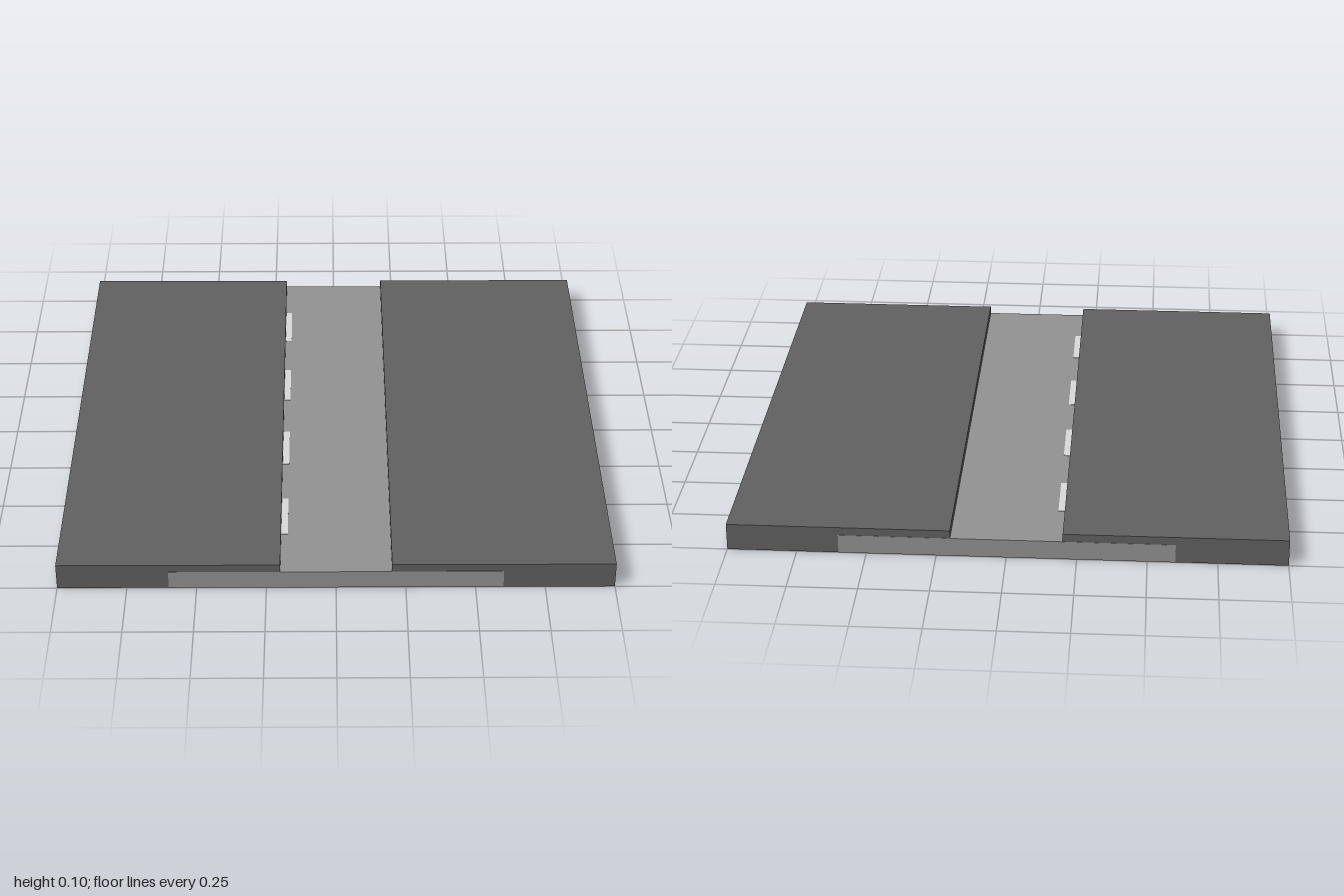
import * as THREE from 'three';

// Open-bottomed box shell between two x limits, standing on y = 0
function shell(name, x0, x1, height, depth, material, z = 0) {
  const geometry = new THREE.BoxGeometry(x1 - x0, height, depth);
  const index = Array.from(geometry.index.array);
  index.splice(18, 6); // drop the underside
  geometry.setIndex(index);
  geometry.clearGroups();
  geometry.translate((x0 + x1) / 2, height / 2, z);
  const mesh = new THREE.Mesh(geometry, material);
  mesh.name = name;
  return mesh;
}

export function createModel() {
  const make = (name, color) =>
    new THREE.MeshStandardMaterial({ name, color, side: THREE.DoubleSide });
  const darkGrey = make('darkGrey', 0x606060);
  const midGrey = make('midGrey', 0x929292);
  const paleGrey = make('paleGrey', 0xd8d8d8);

  const model = new THREE.Group();
  model.name = 'roadTile';

  // Raised slabs either side of the channel
  model.add(shell('leftSlab', 0.2, 1, 0.1, 1.998, darkGrey));
  model.add(shell('rightSlab', -1, -0.2, 0.1, 1.998, darkGrey));

  // Sunken road, running on beneath both slabs
  model.add(shell('road', -0.6, 0.6, 0.07, 2, midGrey));

  // Dashes along the right edge of the channel
  const dashes = new THREE.Group();
  dashes.name = 'laneDashes';
  for (let i = 0; i < 4; i++) {
    const z = -0.667 + i * 0.4445;
    dashes.add(shell('laneDash', -0.199, -0.175, 0.072, 0.22, paleGrey, z));
  }
  model.add(dashes);
  return model;
}
